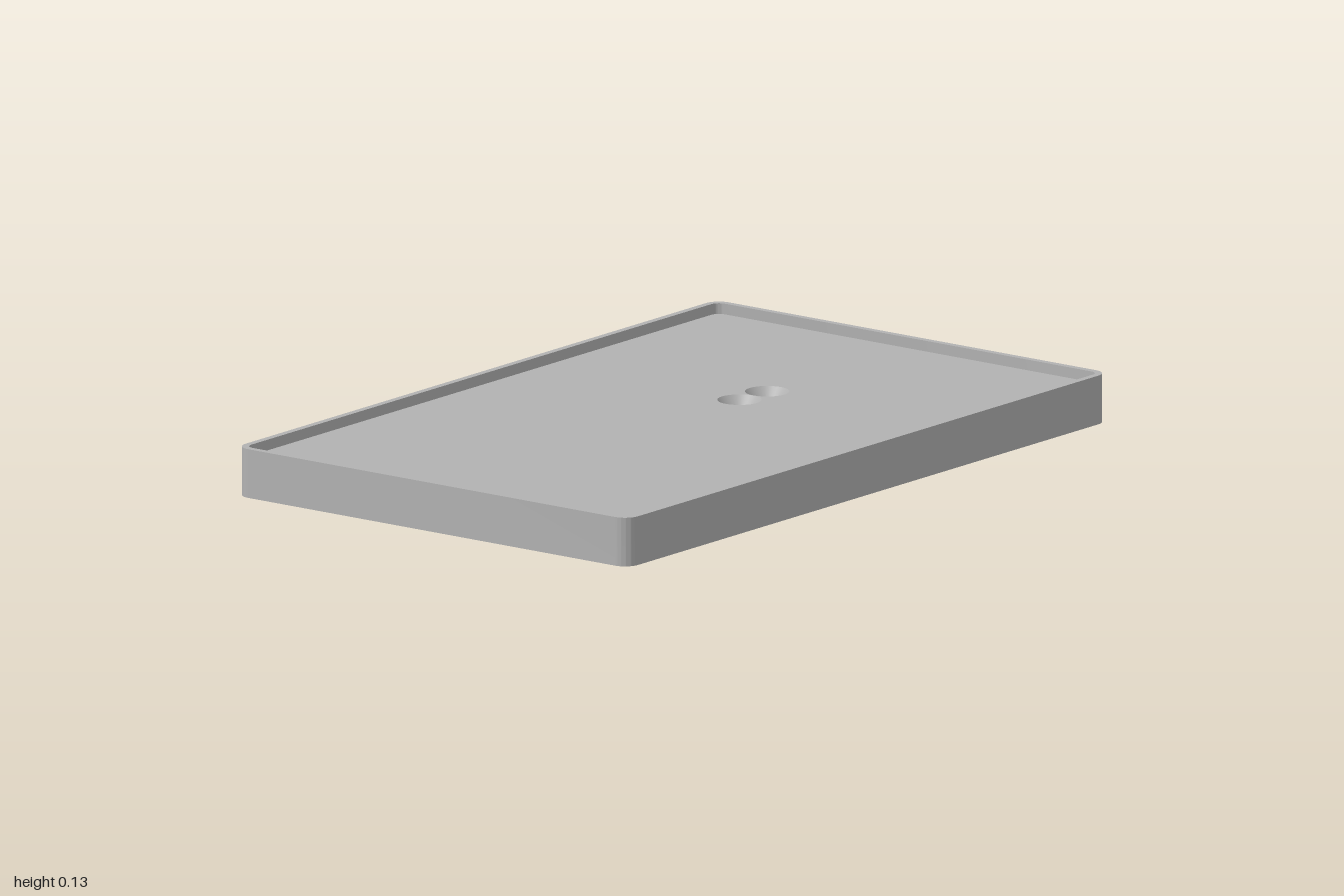
import * as THREE from 'three';
import { toCreasedNormals } from 'three/addons/utils/BufferGeometryUtils.js';

const W = 2, D = 1.27, H = 0.128;       // overall size
const WALL = 0.018, RIB = 0.024;        // thicknesses
const CEIL = 0.082, FLOOR = 0.1;        // underside and top of the deck
const HOLES = [0.281, 0.396];           // screw hole positions along x
const R_TOP = 0.057, R_HOLE = 0.03, SEAT = 0.06;

// Rounded rectangle, as a Shape or as a hole Path
function roundedRect(Kind, w, d, r, cx = 0) {
  const x = w / 2, y = d / 2, s = new Kind();
  s.moveTo(cx - x + r, -y);
  s.lineTo(cx + x - r, -y);
  s.absarc(cx + x - r, -y + r, r, -Math.PI / 2, 0);
  s.lineTo(cx + x, y - r);
  s.absarc(cx + x - r, y - r, r, 0, Math.PI / 2);
  s.lineTo(cx - x + r, y);
  s.absarc(cx - x + r, y - r, r, Math.PI / 2, Math.PI);
  s.lineTo(cx - x, -y + r);
  s.absarc(cx - x + r, -y + r, r, Math.PI, Math.PI * 1.5);
  return s;
}

// Cuts the two round holes out of a shape
function drill(shape, radius) {
  for (const x of HOLES) shape.holes.push(new THREE.Path().absarc(x, 0, radius, 0, Math.PI * 2, true));
  return shape;
}

// Extrudes a plan shape upward between two heights
function slab(shape, y0, y1) {
  const g = new THREE.ExtrudeGeometry(shape, { depth: y1 - y0, bevelEnabled: false, curveSegments: 16 });
  g.rotateX(-Math.PI / 2).translate(0, y0, 0);
  return toCreasedNormals(g, 0.6);
}

export function createModel() {
  const model = new THREE.Group();
  model.name = 'tray';
  const grey = new THREE.MeshStandardMaterial({ color: 0xb2b2b2 });
  grey.name = 'grey';
  const greyOpen = new THREE.MeshStandardMaterial({ color: 0xb2b2b2, side: THREE.DoubleSide });
  greyOpen.name = 'grey';

  const add = (name, geometry, material = grey) => {
    const mesh = new THREE.Mesh(geometry, material);
    mesh.name = name;
    model.add(mesh);
  };

  // Outer wall, rising above the deck as a rim
  const ring = roundedRect(THREE.Shape, W, D, 0.042);
  ring.holes.push(roundedRect(THREE.Path, W - 2 * WALL, D - 2 * WALL, 0.025));
  add('outerWall', slab(ring, 0, H));

  // Deck with two round openings
  const deck = roundedRect(THREE.Shape, W - 2 * WALL, D - 2 * WALL, 0.025);
  add('deck', slab(drill(deck, R_TOP), CEIL, FLOOR));

  // Screw block under the deck: narrow bores below, wide seats above
  const block = r => drill(roundedRect(THREE.Shape, 0.27, 0.14, 0.001, 0.339), r);
  add('screwBlock', slab(block(R_HOLE), 0, SEAT));
  add('screwBlockTop', slab(block(R_TOP), SEAT, CEIL));

  // Countersunk cones
  for (const x of HOLES) {
    const cone = new THREE.CylinderGeometry(R_TOP, R_HOLE, FLOOR - SEAT, 32, 1, true);
    add('countersink', cone.translate(x, (FLOOR + SEAT) / 2, 0), greyOpen);
  }

  // Long ribs
  const ribZ = 0.31, inX = W / 2 - WALL, inZ = D / 2 - WALL;
  const rib = (name, x0, x1, z0, z1) => add(name, new THREE.BoxGeometry(x1 - x0, CEIL, z1 - z0)
    .translate((x0 + x1) / 2, CEIL / 2, (z0 + z1) / 2));
  for (const s of [-1, 1]) rib('longRib', -inX, inX, s * ribZ - RIB / 2, s * ribZ + RIB / 2);

  // Cross ribs: full in the end columns, short stubs around the open middle
  const edge = ribZ + RIB / 2, inner = ribZ - RIB / 2, stub = 0.14;
  for (let i = -2; i <= 2; i++) {
    const x0 = i * 0.38 - RIB / 2, x1 = x0 + RIB;
    rib('outerCrossRib', x0, x1, edge, inZ);
    rib('outerCrossRib', x0, x1, -inZ, -edge);
    if (Math.abs(i) === 2) rib('crossRib', x0, x1, -inner, inner);
    else {
      rib('stubRib', x0, x1, stub, inner);
      rib('stubRib', x0, x1, -inner, -stub);
    }
  }
  return model;
}
